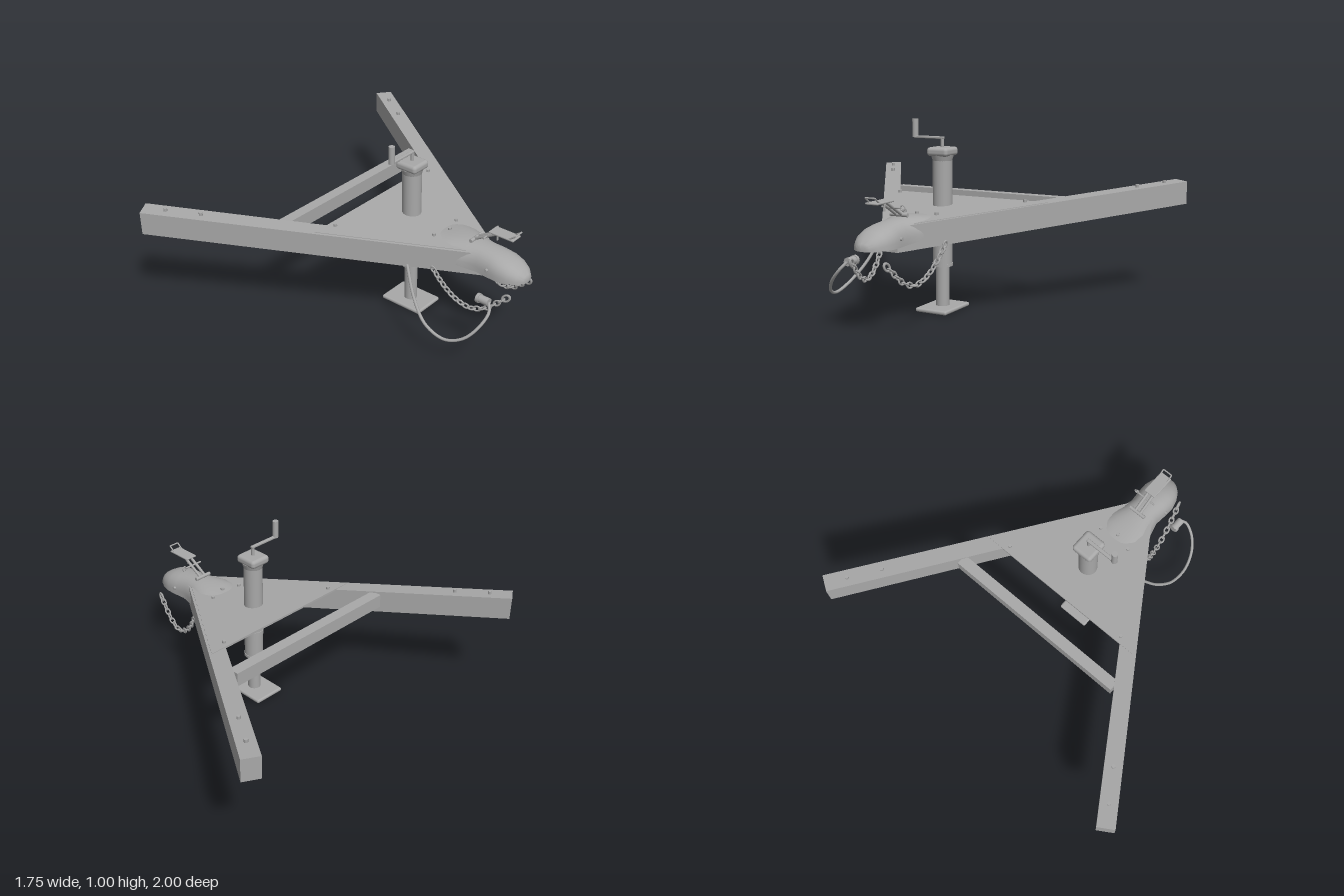
import * as THREE from 'three';
import { toCreasedNormals } from 'three/addons/utils/BufferGeometryUtils.js';
import { RoundedBoxGeometry } from 'three/addons/geometries/RoundedBoxGeometry.js';

const SLOPE = -0.083;                          // the frame drops towards the coupler
const frameTop = x => 0.568 + SLOPE * x;
const V = (x, y, z) => new THREE.Vector3(x, y, z);

export function createModel() {
  const model = new THREE.Group();
  model.name = 'trailerTongue';
  const steel = new THREE.MeshStandardMaterial({ color: 0xa8a8a8, side: THREE.DoubleSide });
  steel.name = 'grey steel';

  function add(name, geo, x = 0, y = 0, z = 0, parent = model) {
    const m = new THREE.Mesh(geo, steel);
    m.name = name;
    m.position.set(x, y, z);
    parent.add(m);
    return m;
  }
  const cyl = (r, h, n = 20, r2 = r) => new THREE.CylinderGeometry(r, r2, h, n);
  // straight round bar between two points
  function rod(name, a, b, r, n = 12) {
    const m = add(name, cyl(r, a.distanceTo(b), n));
    m.position.copy(a).add(b).multiplyScalar(0.5);
    m.quaternion.setFromUnitVectors(V(0, 1, 0), b.clone().sub(a).normalize());
    return m;
  }
  // plan outline [x, z] extruded upwards, then sheared to the frame slope
  function slopedPrism(outline, bottom, height) {
    const s = new THREE.Shape(outline.map(([x, z]) => new THREE.Vector2(x, -z)));
    const g = new THREE.ExtrudeGeometry(s, { depth: height, bevelEnabled: false });
    g.rotateX(-Math.PI / 2).translate(0, bottom, 0);
    return g.applyMatrix4(new THREE.Matrix4().set(1, 0, 0, 0, SLOPE, 1, 0, 0, 0, 0, 1, 0, 0, 0, 0, 1));
  }

  // A-frame beams, gusset plate and cross member
  for (const s of [1, -1]) {
    const beam = [[-0.83, 1], [0.64, 0.045], [0.64, 0], [0.546, 0], [-0.88, 0.92]];
    add(s > 0 ? 'leftBeam' : 'rightBeam', slopedPrism(beam.map(([x, z]) => [x, z * s]), 0.443, 0.125));
  }
  add('gussetPlate', slopedPrism(
    [[-0.085, 0.5], [0.6, 0.055], [0.6, -0.055], [-0.085, -0.5]], 0.56, 0.011));
  add('crossMember', new THREE.BoxGeometry(0.06, 0.075, 1.06), -0.275, 0.545, 0);

  // bolts through the frame
  for (const s of [1, -1])
    for (const [x, z] of [[-0.755, 0.895], [-0.6, 0.795], [-0.05, 0.385], [0.36, 0.095]])
      add('frameBolt', cyl(0.01, 0.018, 8), x, frameTop(x) + 0.007, z * s);
  add('frontBolt', cyl(0.01, 0.02, 8), 0.39, frameTop(0.39) + 0.01, 0);

  // jack: foot, inner leg, outer tube, bands, cap
  const jx = 0.14;
  add('jackFoot', new RoundedBoxGeometry(0.255, 0.022, 0.185, 3, 0.01), jx, 0.011, 0);
  add('jackInnerLeg', cyl(0.035, 0.26, 24), jx, 0.14, 0);
  add('jackOuterTube', cyl(0.051, 0.58, 28), jx, 0.53, 0);
  add('jackLowerBand', cyl(0.054, 0.015, 28), jx, 0.242, 0);
  add('jackCollar', cyl(0.055, 0.025, 28), jx, 0.392, 0);
  for (const s of [1, -1]) add('collarBolt', cyl(0.007, 0.02, 8), jx, 0.395, 0.055 * s).rotation.x = Math.PI / 2;
  add('jackCapNeck', cyl(0.06, 0.03, 24, 0.051), jx, 0.805, 0);
  add('jackCap', new RoundedBoxGeometry(0.13, 0.046, 0.122, 3, 0.018), jx, 0.837, 0);

  // crank
  add('crankShaft', cyl(0.009, 0.06, 12), jx, 0.882, 0);
  add('crankArm', new RoundedBoxGeometry(0.018, 0.013, 0.18, 2, 0.004), jx, 0.907, 0.08);
  add('crankHandle', cyl(0.016, 0.095, 16), jx, 0.9525, 0.165);

  // coupler: hollow shell lofted through [x, half width, top, bottom]
  const sections = [
    [0.36, 0.10, 0.541, 0.525], [0.42, 0.135, 0.548, 0.49], [0.48, 0.138, 0.553, 0.458],
    [0.55, 0.112, 0.553, 0.437], [0.62, 0.093, 0.548, 0.43], [0.69, 0.1, 0.541, 0.43],
    [0.75, 0.102, 0.53, 0.43], [0.80, 0.09, 0.513, 0.43], [0.84, 0.068, 0.489, 0.43],
    [0.865, 0.04, 0.466, 0.43], [0.873, 0.022, 0.456, 0.43], [0.874, 0, 0.432, 0.43]];
  const N = 18, ring = 2 * (N + 1), pos = [], idx = [];
  for (const [x, w, top, bottom] of sections)
    for (let k = 0; k < ring; k++) {
      const inner = k > N, a = Math.PI * (inner ? ring - 1 - k : k) / N;
      const t = inner ? 0.012 : 0;
      const c = Math.cos(a), s = Math.max(Math.sin(a), 0);
      pos.push(x, bottom + Math.max(top - bottom - t, 0.001) * s ** 0.75,
        Math.max(w - t, 0) * Math.sign(c) * Math.abs(c) ** 0.85);
    }
  for (let i = 0; i < sections.length - 1; i++)
    for (let k = 0; k < ring; k++) {
      const a = i * ring + k, b = i * ring + (k + 1) % ring;
      idx.push(a, a + ring, b, b, a + ring, b + ring);
    }
  const shell = new THREE.BufferGeometry();
  shell.setAttribute('position', new THREE.Float32BufferAttribute(pos, 3));
  shell.setIndex(idx);
  add('couplerShell', toCreasedNormals(shell, 0.7));
  add('ballSocket', new THREE.SphereGeometry(0.06, 20, 8, 0, Math.PI * 2, 0, Math.PI / 2), 0.765, 0.437, 0);
  add('socketClamp', new THREE.BoxGeometry(0.05, 0.03, 0.08), 0.67, 0.45, 0);
  for (const s of [1, -1])
    add('couplerBolt', cyl(0.009, 0.016, 8), 0.69, 0.47, 0.1 * s).rotation.x = Math.PI / 2;

  // latch lever on top of the coupler
  rod('latchPivot', V(0.555, 0.562, -0.05), V(0.555, 0.562, 0.05), 0.01);
  for (const s of [1, -1]) {
    rod('latchArm', V(0.555, 0.562, 0.016 * s), V(0.69, 0.64, 0.016 * s), 0.008, 8);
    rod('latchTipSide', V(0.765, 0.645, 0.028 * s), V(0.8, 0.672, 0.028 * s), 0.004, 8);
  }
  rod('latchTip', V(0.8, 0.672, -0.028), V(0.8, 0.672, 0.028), 0.004, 8);
  add('latchPlate', new RoundedBoxGeometry(0.145, 0.01, 0.07, 2, 0.004), 0.72, 0.643, 0);
  rod('latchStem', V(0.68, 0.595, 0), V(0.68, 0.64, 0), 0.005, 8);
  rod('latchPin', V(0.63, 0.607, -0.06), V(0.63, 0.607, 0.05), 0.005, 8);
  add('pinRing', new THREE.TorusGeometry(0.013, 0.003, 6, 16), 0.63, 0.608, -0.07).rotation.y = Math.PI / 2;

  // safety chains with alternating links and an end hook
  for (const s of [1, -1]) {
    const chain = new THREE.Group();
    chain.name = s > 0 ? 'leftChain' : 'rightChain';
    model.add(chain);
    const path = new THREE.CatmullRomCurve3([
      V(0.43, 0.41, 0.185 * s), V(0.48, 0.335, 0.17 * s), V(0.55, 0.27, 0.155 * s),
      V(0.63, 0.24, 0.138 * s), V(0.71, 0.265, 0.122 * s), V(0.77, 0.315, 0.11 * s), V(0.815, 0.357, 0.1 * s)]);
    const link = new THREE.TorusGeometry(0.013, 0.0048, 6, 14).scale(1.45, 1, 1);
    const count = 17;
    for (let i = 0; i < count; i++) {
      const last = i === count - 1;
      const m = add(last ? 'chainHook' : 'chainLink', link, 0, 0, 0, chain);
      m.position.copy(path.getPointAt(i / (count - 1)));
      m.quaternion.setFromUnitVectors(V(1, 0, 0), path.getTangentAt(i / (count - 1)));
      m.rotateX(i % 2 ? Math.PI / 2 : 0);
      if (last) m.scale.setScalar(1.2);
    }
  }

  // wiring cable with its plug
  const cable = new THREE.CatmullRomCurve3([
    V(0.31, 0.43, 0.25), V(0.4, 0.275, 0.3), V(0.5, 0.185, 0.335), V(0.62, 0.15, 0.335),
    V(0.71, 0.18, 0.305), V(0.765, 0.245, 0.255), V(0.782, 0.31, 0.195), V(0.76, 0.345, 0.167)]);
  add('wiringCable', new THREE.TubeGeometry(cable, 40, 0.008, 8));
  add('plugBody', cyl(0.021, 0.07, 16), 0.725, 0.345, 0.166).rotation.z = Math.PI / 2;
  add('plugRim', cyl(0.025, 0.016, 16), 0.699, 0.345, 0.166).rotation.z = Math.PI / 2;

  return model;
}
